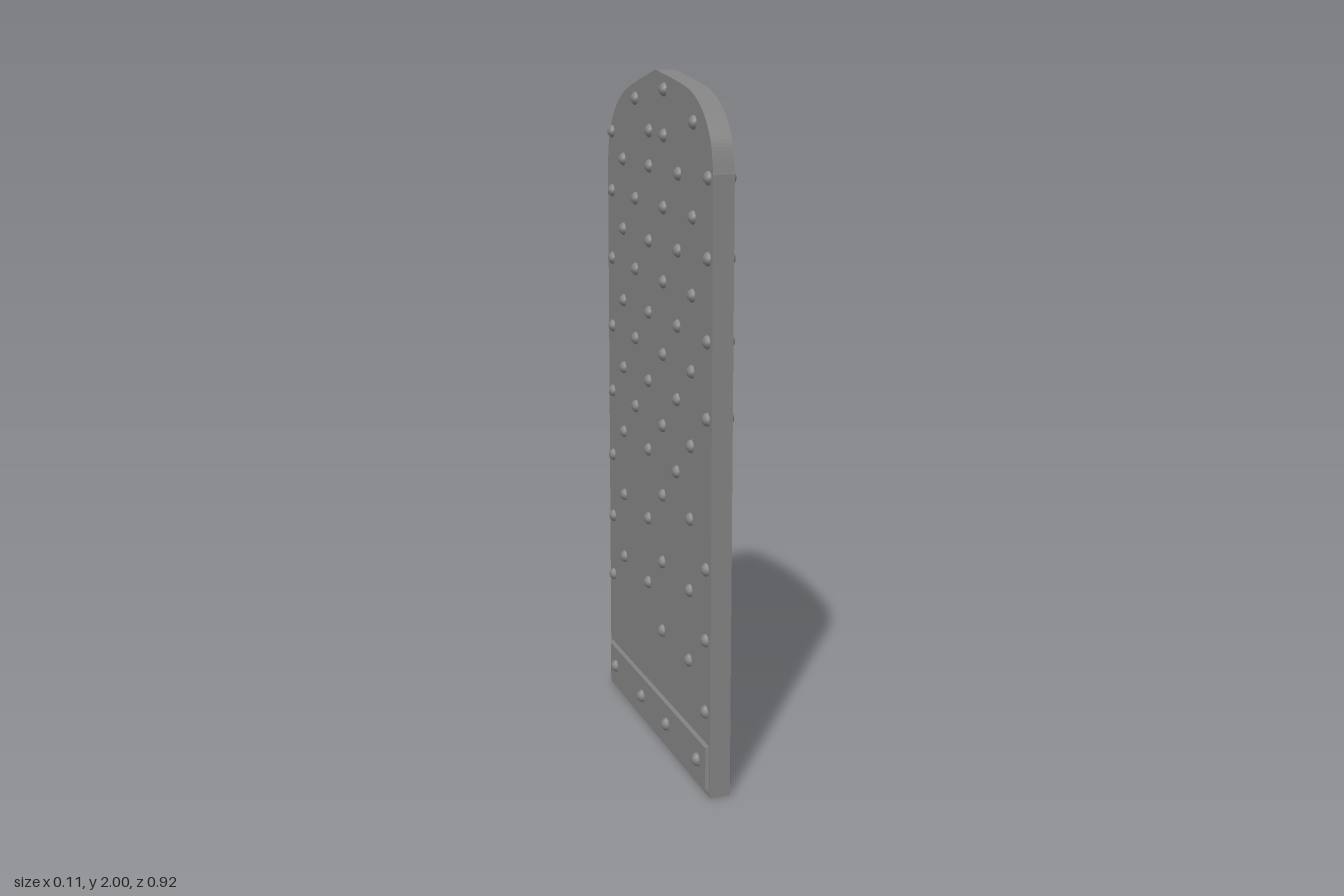
import * as THREE from 'three';

const material = new THREE.MeshStandardMaterial({ color: 0x828282 });
const HALF = 0.03; // half thickness of the slab

function addMesh(parent, geometry, name) {
  const mesh = new THREE.Mesh(geometry, material);
  mesh.name = name;
  parent.add(mesh);
  return mesh;
}

// Extrudes a shape drawn in (-z, y) so that its depth runs along x, centred on x = 0
function extrudeAcross(shape, depth, options = {}) {
  const geometry = new THREE.ExtrudeGeometry(shape, { depth, bevelEnabled: false, curveSegments: 8, ...options });
  geometry.translate(0, 0, -depth / 2);
  return geometry.rotateY(Math.PI / 2);
}

// Upright slab with rounded shoulders rising to a shallow point
function slabShape() {
  const shape = new THREE.Shape();
  const shoulder = [[0.434, 1.818], [0.376, 1.89], [0.286, 1.941], [0.15, 1.973]];
  const v = ([z, y], side) => new THREE.Vector2(z * side, y);
  shape.moveTo(-0.461, 0);
  shape.lineTo(0.461, 0);
  shape.lineTo(0.455, 1.73);
  shape.splineThru(shoulder.map((p) => v(p, 1)));
  shape.lineTo(0, 2);
  shape.lineTo(-0.15, 1.973);
  shape.splineThru([...shoulder.slice(0, 3).reverse().map((p) => v(p, -1)), new THREE.Vector2(-0.455, 1.73)]);
  shape.closePath();
  return shape;
}

// Rivet columns: z at y = 1, lean of the column, then the heights of the rivets
const columns = [
  [0.424, 0, [0.245, 0.455, 0.66, 1.08, 1.29, 1.51, 1.72]],
  [0.302, 0.013, [0.35, 0.56, 0.77, 0.98, 1.19, 1.4, 1.61, 1.86]],
  [0.188, 0.01, [0.88, 1.09, 1.3, 1.51, 1.72]],
  [0.069, 0.008, [0.36, 0.575, 0.78, 0.99, 1.2, 1.41, 1.62, 1.82, 1.945]],
  [-0.06, 0.012, [0.472, 0.675, 0.89, 1.1, 1.305, 1.515, 1.73, 1.83]],
  [-0.181, 0.005, [1, 1.21, 1.42, 1.63, 1.92]],
  [-0.299, 0.004, [0.485, 0.69, 0.895, 1.1, 1.31, 1.53, 1.74]],
  [-0.414, 0.01, [0.39, 0.59, 0.795, 1.005, 1.215, 1.43, 1.64, 1.82]],
];

export function createModel() {
  const model = new THREE.Group();
  model.name = 'studdedSlab';
  addMesh(model, extrudeAcross(slabShape(), HALF * 2), 'slab');

  // Bevelled kick plate, showing on both faces
  const bevel = 0.008;
  const plate = new THREE.Shape();
  plate.moveTo(-0.444, 0.024);
  plate.lineTo(0.439, 0.024);
  plate.lineTo(0.439, 0.145);
  plate.lineTo(-0.444, 0.145);
  plate.closePath();
  addMesh(model, extrudeAcross(plate, HALF * 2, {
    bevelEnabled: true, bevelThickness: bevel, bevelSize: bevel, bevelSegments: 1,
  }), 'kickPlate');

  // Rivets in matching places on both faces
  const rivet = new THREE.SphereGeometry(0.021, 10, 6).rotateZ(Math.PI / 2);
  for (const side of [1, -1]) {
    const group = new THREE.Group();
    group.name = side > 0 ? 'leftRivets' : 'rightRivets';
    model.add(group);
    for (const [z, lean, heights] of columns) {
      for (const y of heights) {
        addMesh(group, rivet, 'rivet').position.set(side * 0.025, y, z + lean * (y - 1));
      }
    }
    for (const z of [0.381, 0.121, -0.109, -0.379]) {
      addMesh(group, rivet, 'plateRivet').position.set(side * 0.035, 0.085, z);
    }
  }
  return model;
}
